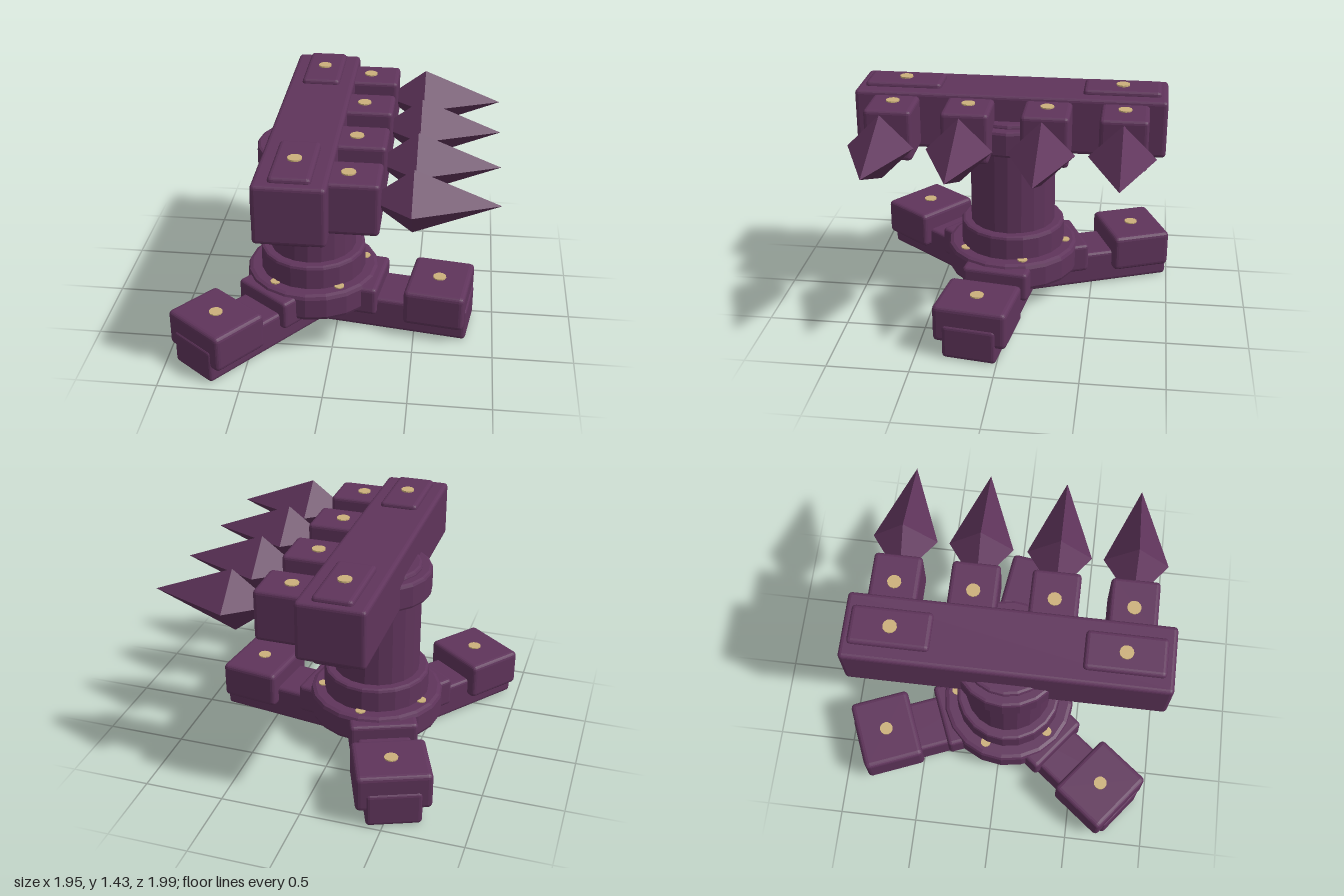
import * as THREE from 'three';
import { RoundedBoxGeometry } from 'three/addons/geometries/RoundedBoxGeometry.js';

const CX = -0.175, CZ = 0.028; // axis of the column
const SIDES = 20;

export function createModel() {
  const model = new THREE.Group();
  model.name = 'spikedRamStand';

  const purple = new THREE.MeshStandardMaterial({ color: 0x5f345b, flatShading: true });
  purple.name = 'dark purple';
  const gold = new THREE.MeshStandardMaterial({ color: 0xccb07b, flatShading: true });
  gold.name = 'pale gold';

  const add = (parent, name, geometry, material, x = 0, y = 0, z = 0) => {
    const mesh = new THREE.Mesh(geometry, material);
    mesh.name = name;
    mesh.position.set(x, y, z);
    parent.add(mesh);
    return mesh;
  };

  // bevelled box given by its extents on each axis
  const box = (parent, name, [x0, x1], [y0, y1], [z0, z1], bevel = 0.025) =>
    add(parent, name, new RoundedBoxGeometry(x1 - x0, y1 - y0, z1 - z0, 2, bevel),
      purple, (x0 + x1) / 2, (y0 + y1) / 2, (z0 + z1) / 2);

  // bevelled drum around the column axis
  const drum = (name, r, y0, y1, b = 0.02) => {
    const profile = [[0, y0], [r - b, y0], [r - b * 0.3, y0 + b * 0.3], [r, y0 + b],
      [r, y1 - b], [r - b * 0.3, y1 - b * 0.3], [r - b, y1], [0, y1]];
    add(model, name, new THREE.LatheGeometry(
      profile.map(([px, py]) => new THREE.Vector2(px, py)), SIDES), purple, CX, 0, CZ);
  };

  // flat round stud whose top sits just above a surface
  const stud = (parent, x, y, z, r = 0.042) =>
    add(parent, 'stud', new THREE.CylinderGeometry(r, r, 0.02, 12), gold, x, y, z);

  // three legs, each with a foot pad and a clamp near the hub
  for (let i = 0; i < 3; i++) {
    const leg = new THREE.Group();
    leg.name = 'leg';
    leg.position.set(CX, 0, CZ);
    leg.rotation.y = -THREE.MathUtils.degToRad(8 + 120 * i);
    box(leg, 'legBeam', [-0.04, 1.035], [0, 0.222], [-0.168, 0.168]);
    box(leg, 'footPad', [0.64, 1.025], [0.1, 0.34], [-0.228, 0.228], 0.03);
    box(leg, 'legClamp', [0.26, 0.465], [0.12, 0.312], [-0.213, 0.213]);
    stud(leg, 0.832, 0.338, 0);
    model.add(leg);
  }

  // hub, column and swivel head
  drum('hubDisc', 0.428, 0.15, 0.335, 0.03);
  drum('columnCollar', 0.338, 0.2, 0.492);
  drum('column', 0.275, 0.4, 1.225);
  drum('swivelRing', 0.338, 1.03, 1.2);
  for (let i = 0; i < 5; i++) {
    const a = THREE.MathUtils.degToRad(55 + 72 * i);
    stud(model, CX + 0.345 * Math.cos(a), 0.333, CZ + 0.345 * Math.sin(a), 0.032);
  }

  // cross beam with two wrapped bands
  box(model, 'crossBeam', [-0.385, 0.03], [1.025, 1.39], [-0.94, 0.995]);
  for (const z of [-0.66, 0.705]) {
    box(model, 'beamBand', [-0.298, -0.058], [0.99, 1.42], [z - 0.24, z + 0.24]);
    stud(model, CX - 0.003, 1.42, z);
  }

  // sockets, each holding a four-sided spike
  const spikeShape = new THREE.LatheGeometry([
    new THREE.Vector2(0, -0.26), new THREE.Vector2(0.198, 0), new THREE.Vector2(0, 0.49)], 4);
  spikeShape.rotateZ(-Math.PI / 2);
  for (const z of [-0.685, -0.217, 0.263, 0.73]) {
    box(model, 'spikeSocket', [-0.02, 0.31], [1.045, 1.365], [z - 0.146, z + 0.146]);
    stud(model, 0.125, 1.363, z);
    add(model, 'spike', spikeShape, purple, 0.485, 1.205, z);
  }

  return model;
}
